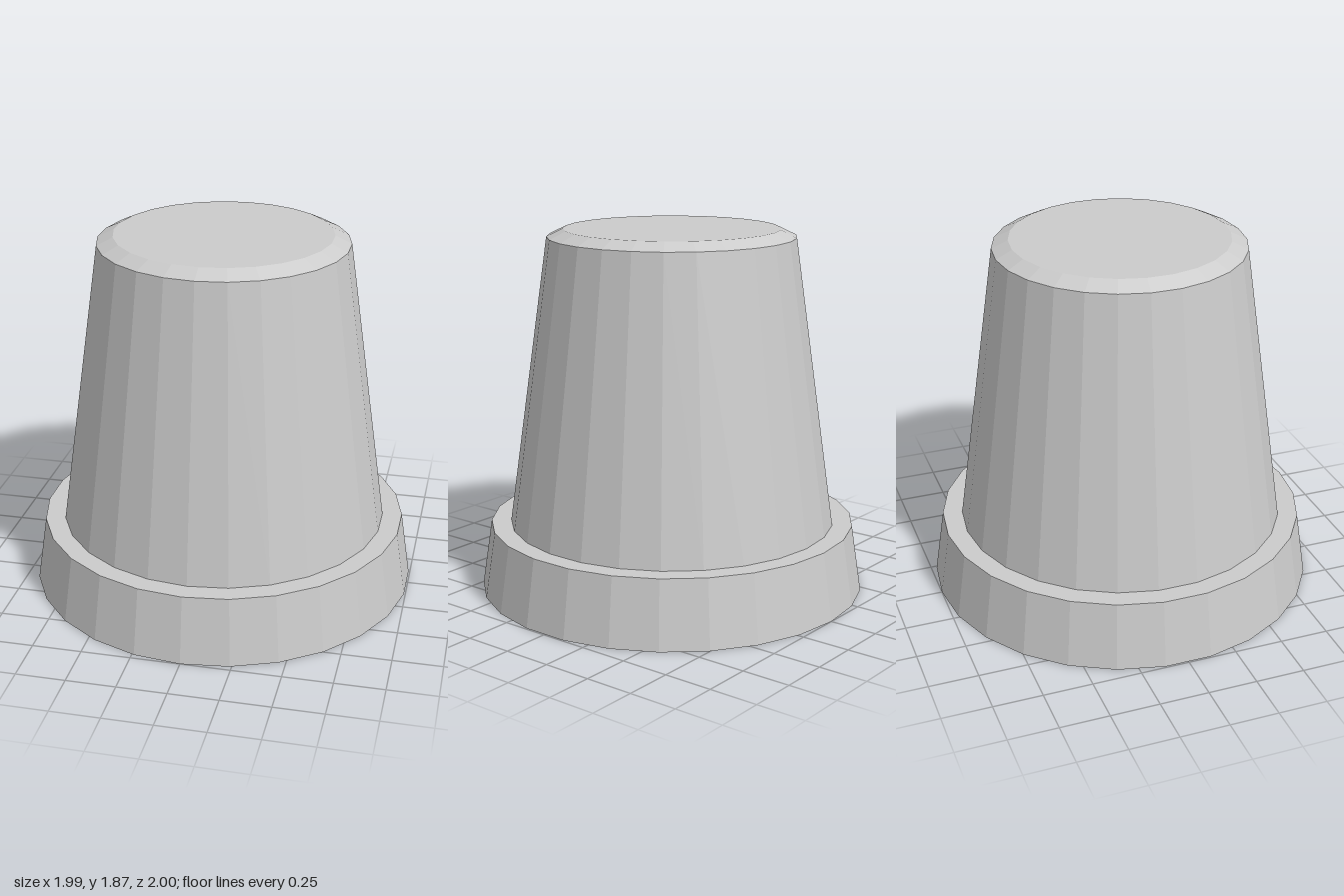
import * as THREE from 'three';

const SIDES = 26;

// Faceted solid of revolution from [radius, height] pairs, listed bottom to top
function turned(name, profile) {
  const points = profile.map(([r, y]) => new THREE.Vector2(r, y));
  const material = new THREE.MeshStandardMaterial({ color: 0xcccccc, flatShading: true });
  const mesh = new THREE.Mesh(new THREE.LatheGeometry(points, SIDES), material);
  mesh.name = name;
  return mesh;
}

export function createModel() {
  const model = new THREE.Group();
  model.name = 'taperedCup';

  // Wide collar with closed underside and a ledge up to the body
  model.add(turned('collar', [[0, 0], [1, 0], [0.947, 0.345], [0.845, 0.345]]));

  // Tapered body with a bevelled, closed top
  model.add(turned('body', [[0.845, 0.345], [0.633, 1.83], [0.55, 1.87], [0, 1.87]]));

  return model;
}
